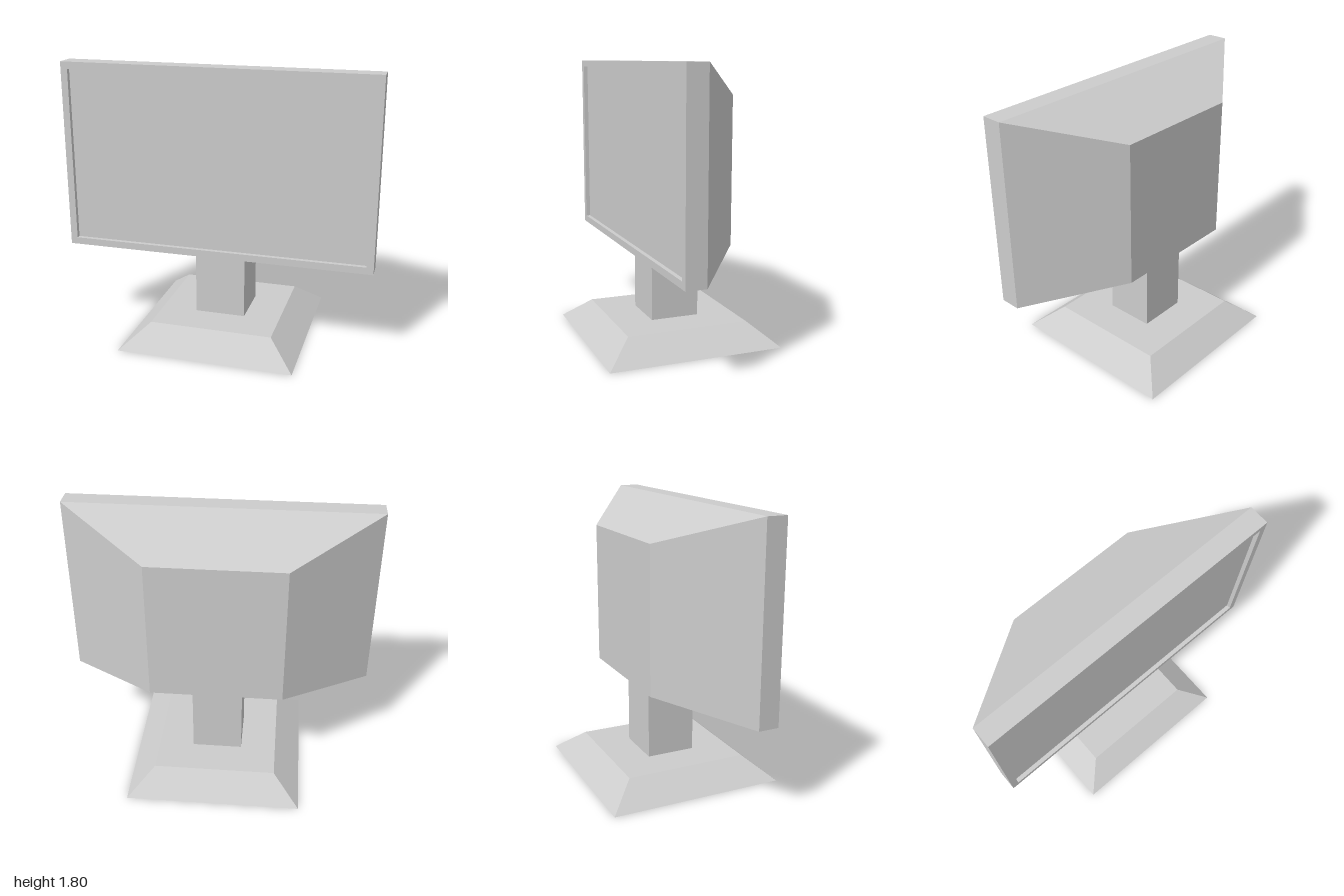
import * as THREE from 'three';

// Box between two parallel rectangles; 'axis' is the direction in which it tapers.
// low and high are { at, a: [min, max], b: [min, max] } with a, b the other two axes in x, y, z order.
function taperedBox(axis, low, high) {
  const geometry = new THREE.BoxGeometry(1, 1, 1);
  const p = geometry.attributes.position;
  const others = [0, 1, 2].filter((i) => i !== axis);
  for (let i = 0; i < p.count; i++) {
    const end = p.getComponent(i, axis) < 0 ? low : high;
    const a = end.a[p.getComponent(i, others[0]) < 0 ? 0 : 1];
    const b = end.b[p.getComponent(i, others[1]) < 0 ? 0 : 1];
    p.setComponent(i, axis, end.at);
    p.setComponent(i, others[0], a);
    p.setComponent(i, others[1], b);
  }
  geometry.computeVertexNormals();
  return geometry;
}

function rectangle(path, x, y0, y1) {
  path.moveTo(-x, y0);
  path.lineTo(x, y0);
  path.lineTo(x, y1);
  path.lineTo(-x, y1);
  path.closePath();
  return path;
}

export function createModel() {
  const model = new THREE.Group();
  model.name = 'monitor';
  const grey = new THREE.MeshStandardMaterial({ name: 'light grey', color: 0xcccccc });

  const add = (name, geometry) => {
    const mesh = new THREE.Mesh(geometry, grey);
    mesh.name = name;
    model.add(mesh);
    return mesh;
  };

  // Foot with sloped sides
  add('base', taperedBox(1,
    { at: 0, a: [-0.57, 0.57], b: [-0.57, 0.57] },
    { at: 0.145, a: [-0.4, 0.4], b: [-0.4, 0.4] }));

  // Square post, reaching into the casing
  const neck = add('neck', new THREE.BoxGeometry(0.33, 0.52, 0.32));
  neck.position.set(0, 0.4, -0.002);

  // Frame around the screen opening
  const outline = rectangle(new THREE.Shape(), 1, 0.588, 1.8);
  outline.holes.push(rectangle(new THREE.Path(), 0.955, 0.633, 1.755));
  const bezel = add('bezel', new THREE.ExtrudeGeometry(outline, { depth: 0.13, bevelEnabled: false }));
  bezel.position.z = 0.145;

  // Recessed screen
  const screen = add('screen', new THREE.PlaneGeometry(1.91, 1.122));
  screen.position.set(0, 1.194, 0.247);

  // Casing narrowing to the back
  add('backCasing', taperedBox(2,
    { at: -0.27, a: [-0.43, 0.43], b: [0.67, 1.6] },
    { at: 0.145, a: [-1, 1], b: [0.588, 1.8] }));

  return model;
}
